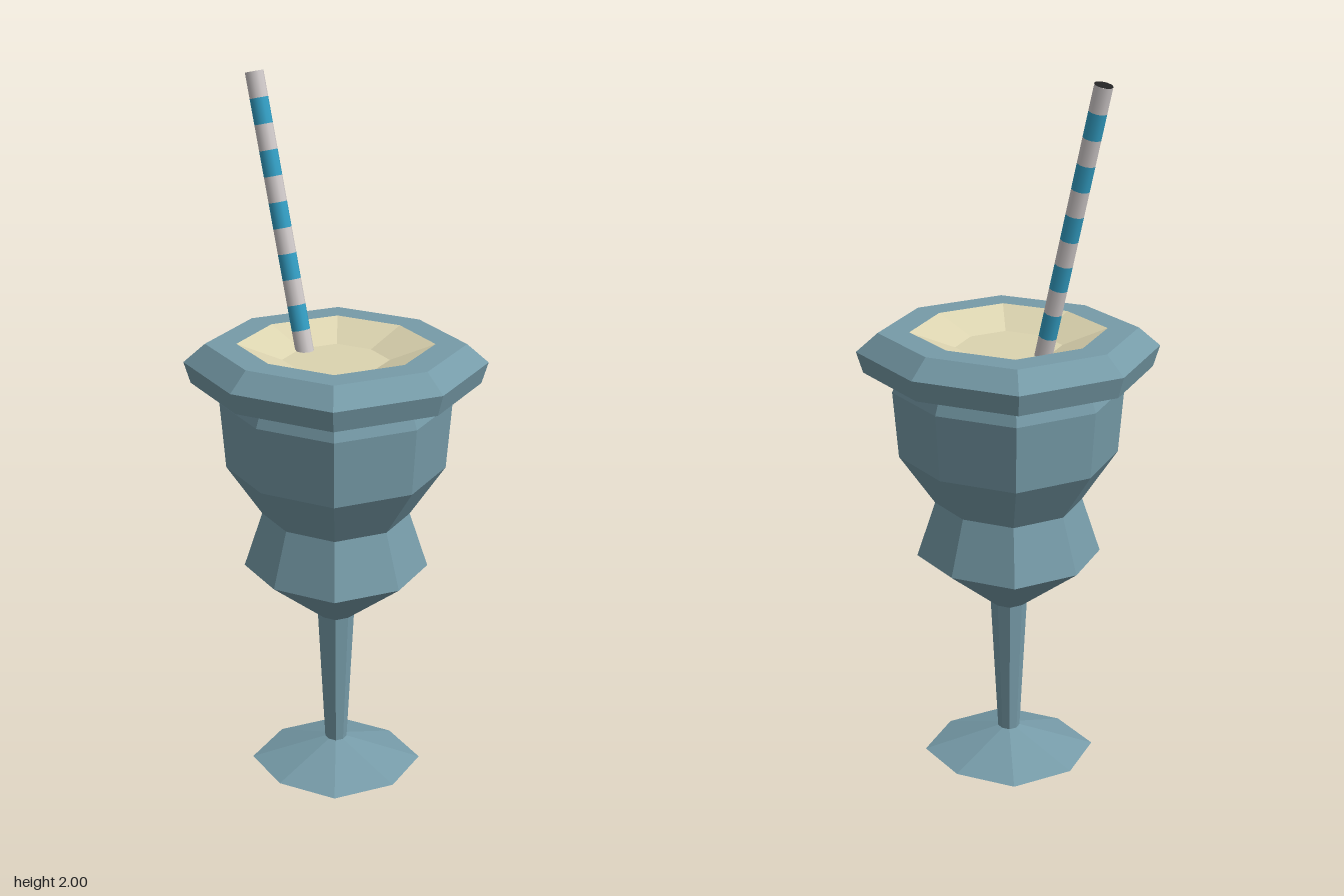
import * as THREE from 'three';

const paint = (name, color) => {
  const m = new THREE.MeshStandardMaterial({ color });
  m.name = name;
  return m;
};

// Eight-sided turned solid, a little narrower front to back and fuller at the diagonals
function octagonTurned(profile) {
  const points = profile.map(([r, y]) => new THREE.Vector2(r, y));
  const geo = new THREE.LatheGeometry(points, 8);
  const pos = geo.attributes.position;
  for (let i = 0; i < pos.count; i++) {
    const x = pos.getX(i), z = pos.getZ(i);
    const r = Math.hypot(x, z);
    const sx = Math.abs(x) < 1e-6 ? 0 : Math.sign(x);
    const sz = Math.abs(z) < 1e-6 ? 0 : Math.sign(z);
    const diagonal = sx !== 0 && sz !== 0;
    pos.setX(i, sx * r * (diagonal ? 0.735 : 1));
    pos.setZ(i, sz * r * (diagonal ? 0.745 : 0.968));
  }
  const flat = geo.toNonIndexed();
  flat.computeVertexNormals();
  return flat;
}

export function createModel() {
  const glass = paint('blue grey glass', 0x769ba8);
  const cream = paint('cream', 0xdcd4b0);
  const white = paint('straw white', 0xd2cccc);
  const blue = paint('straw blue', 0x34a0c6);
  const black = paint('straw opening', 0x222222);

  const model = new THREE.Group();
  model.name = 'milkshake';
  const add = (name, geo, mat, parent = model) => {
    const mesh = new THREE.Mesh(geo, mat);
    mesh.name = name;
    parent.add(mesh);
    return mesh;
  };

  // Foot and stem
  add('foot', octagonTurned([[0, 0], [0.235, 0], [0.03, 0.07]]), glass);
  add('stem', octagonTurned([[0.03, 0.07], [0.05, 0.47]]), glass);

  // Bowl with a pinched waist
  add('bowl', octagonTurned([
    [0.05, 0.47], [0.25, 0.62], [0.2, 0.78], [0.295, 0.92], [0.31, 1.11], [0.295, 1.15],
  ]), glass);

  // Flared rim with a flat top
  add('rim', octagonTurned([
    [0.295, 1.15], [0.385, 1.17], [0.403, 1.23], [0.345, 1.283], [0.262, 1.283],
  ]), glass);

  // Drink: a shallow dish inside the rim
  add('drink', octagonTurned([[0.262, 1.283], [0.142, 1.237], [0, 1.237]]), cream);

  // Leaning striped straw, built downwards from its top end
  const straw = new THREE.Group();
  straw.name = 'straw';
  straw.position.set(-0.32, 1.993, 0);
  straw.rotation.z = Math.atan(0.257);
  model.add(straw);
  const radius = 0.026, band = 0.0723, bands = 11;
  for (let i = 0; i < bands; i++) {
    const ring = new THREE.CylinderGeometry(radius, radius, band, 10, 1, true);
    add('strawBand', ring, i % 2 ? blue : white, straw).position.y = -(i + 0.5) * band;
  }
  const opening = new THREE.CircleGeometry(radius, 10).rotateX(-Math.PI / 2);
  add('strawOpening', opening, black, straw);

  return model;
}
